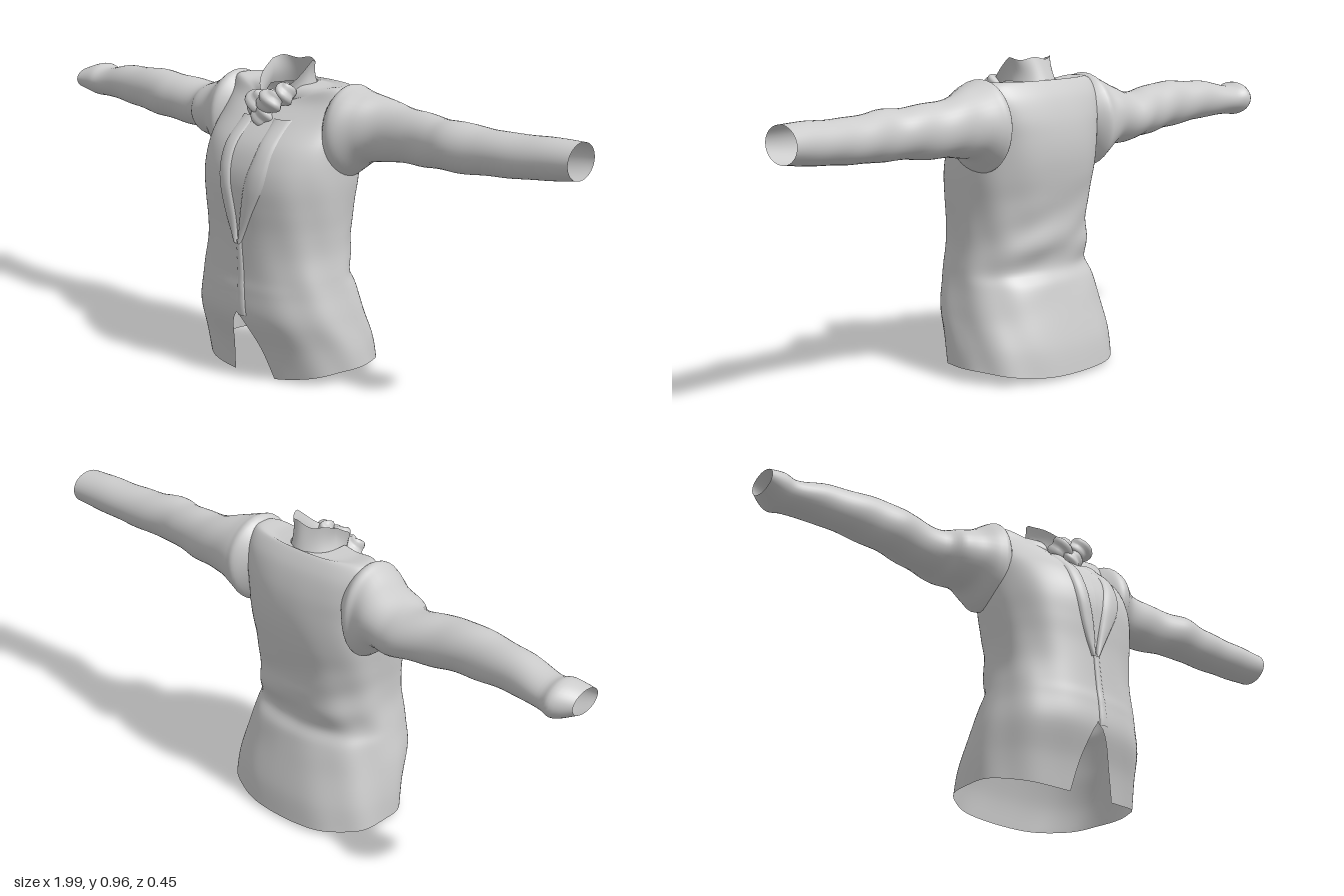
import * as THREE from 'three';

const material = new THREE.MeshStandardMaterial({ color: 0xcccccc, roughness: 0.9, side: THREE.DoubleSide });

// Smooth surface from fn(u, v) -> [x, y, z]; closed joins the loop in u
function surface(name, cols, rows, fn, closed = false) {
  const pos = [], index = [], n = closed ? cols : cols + 1;
  for (let j = 0; j <= rows; j++)
    for (let i = 0; i < n; i++) pos.push(...fn(i / cols, j / rows));
  for (let j = 0; j < rows; j++)
    for (let i = 0; i < cols; i++) {
      const k = (i + 1) % n;
      const a = j * n + i, b = j * n + k, c = a + n, d = b + n;
      index.push(a, b, c, b, d, c);
    }
  const g = new THREE.BufferGeometry();
  g.setAttribute('position', new THREE.Float32BufferAttribute(pos, 3));
  g.setIndex(index);
  g.computeVertexNormals();
  const mesh = new THREE.Mesh(g, material);
  mesh.name = name;
  return mesh;
}

// Catmull-Rom blend through a list of equally long rows, t in 0..1
function blend(rows, t) {
  const f = t * (rows.length - 1), i = Math.min(Math.floor(f), rows.length - 2), s = f - i;
  const at = (k) => rows[Math.max(0, Math.min(rows.length - 1, k))];
  return rows[0].map((_, c) => {
    const [p, q, r, w] = [at(i - 1)[c], at(i)[c], at(i + 1)[c], at(i + 2)[c]];
    return q + 0.5 * s * (r - p + s * (2 * p - 5 * q + 4 * r - w + s * (3 * (q - r) + w - p)));
  });
}

const power = (v, e) => Math.sign(v) * Math.abs(v) ** e;
const POWER = 2.4;

// Body sections: height, half width, front z, back z, dip at the front
const BODY = [
  [0.015, 0.285, 0.165, -0.222, 0.01], [0.10, 0.28, 0.185, -0.21, 0], [0.20, 0.267, 0.217, -0.182, 0],
  [0.28, 0.25, 0.217, -0.158, 0], [0.33, 0.24, 0.212, -0.132, 0], [0.40, 0.23, 0.21, -0.148, 0],
  [0.47, 0.23, 0.21, -0.148, 0], [0.54, 0.236, 0.214, -0.158, 0], [0.61, 0.242, 0.215, -0.172, 0],
  [0.67, 0.243, 0.203, -0.179, 0], [0.73, 0.242, 0.172, -0.178, 0], [0.79, 0.243, 0.11, -0.168, 0],
  [0.85, 0.24, 0.06, -0.146, 0.02], [0.893, 0.215, 0.04, -0.115, 0.045],
  [0.888, 0.14, 0.045, -0.105, 0.05], [0.89, 0.076, 0.055, -0.1, 0.055],
];

// Front surface of the body at a given x and y
function frontZ(x, y) {
  let lo = 0, hi = 12 / (BODY.length - 1);
  for (let i = 0; i < 24; i++) {
    const mid = (lo + hi) / 2;
    if (blend(BODY, mid)[0] < y) lo = mid; else hi = mid;
  }
  const [, w, zf, zb] = blend(BODY, lo);
  const k = Math.max(0, 1 - Math.min(1, Math.abs(x) / w) ** POWER) ** (1 / POWER);
  return (zf + zb) / 2 + ((zf - zb) / 2) * k;
}

function bodyPoint(u, v) {
  const [y, w, zf, zb, dip] = blend(BODY, v);
  // the front opens in an inverted V below the button
  const open = Math.max(0, (0.215 - y) / 0.2) ** 0.65;
  const start = Math.asin((0.10 * open / w) ** (POWER / 2));
  const end = Math.PI * 2 - Math.asin((0.06 * open / w) ** (POWER / 2));
  const a = start + (end - start) * u, s = Math.sin(a), c = Math.cos(a);
  const hem = Math.max(0, 1 - v * 8);
  const fold = 0.004 * Math.sin(y * 46 + s * 5) * Math.max(0, -c) * Math.exp(-(((y - 0.4) / 0.12) ** 2))
    + 0.003 * Math.sin(a * 9 + y * 14) * (1 - v) * Math.abs(s);
  const x = w * power(s, 2 / POWER);
  const z = (zf + zb) / 2 + ((zf - zb) / 2) * power(c, 2 / POWER);
  return [
    x + fold * s,
    y - dip * Math.max(0, c) ** 3 + hem * (0.03 * Math.max(0, s) ** 2 + 0.012 * Math.max(0, -s) ** 2),
    z + fold * c,
  ];
}

// Sleeve sections: distance from centre, top y, bottom y, front z, back z
const LEFT_SLEEVE = [
  [0.19, 0.875, 0.67, 0.05, -0.13], [0.225, 0.905, 0.63, 0.085, -0.163], [0.255, 0.9, 0.645, 0.085, -0.162],
  [0.30, 0.885, 0.68, 0.05, -0.155], [0.36, 0.868, 0.69, 0.018, -0.147], [0.45, 0.855, 0.695, 0.01, -0.136],
  [0.54, 0.848, 0.70, 0.02, -0.124], [0.61, 0.847, 0.702, 0.028, -0.116], [0.70, 0.84, 0.705, 0.014, -0.123],
  [0.80, 0.836, 0.712, 0.006, -0.13], [0.90, 0.84, 0.72, -0.006, -0.138], [0.995, 0.838, 0.732, -0.015, -0.146],
];
const RIGHT_SLEEVE = [
  [0.19, 0.87, 0.67, 0.05, -0.13], [0.225, 0.9, 0.61, 0.085, -0.16], [0.255, 0.89, 0.62, 0.08, -0.157],
  [0.30, 0.862, 0.665, 0.06, -0.163], [0.36, 0.838, 0.672, 0.048, -0.166], [0.41, 0.832, 0.682, 0.012, -0.163],
  [0.50, 0.84, 0.69, 0.01, -0.144], [0.58, 0.85, 0.698, 0.014, -0.134], [0.68, 0.848, 0.708, 0.004, -0.131],
  [0.80, 0.84, 0.72, -0.01, -0.138], [0.90, 0.82, 0.724, -0.022, -0.153], [0.945, 0.83, 0.722, -0.02, -0.166],
  [0.998, 0.812, 0.742, -0.016, -0.128],
];

function sleeve(name, rows, side) {
  return surface(name, 36, 64, (u, v) => {
    const [x, top, bottom, zf, zb] = blend(rows, v);
    const a = u * Math.PI * 2, s = Math.sin(a) * side, c = Math.cos(a);
    const r = 1 + 0.025 * Math.sin(x * 42 + a * 2) * Math.sin(v * Math.PI);
    return [
      side * x,
      (top + bottom) / 2 + ((top - bottom) / 2) * c * r,
      (zf + zb) / 2 + ((zf - zb) / 2) * s * r,
    ];
  }, true);
}

// Raised strip on the chest between two edges; rows: y, inner x, outer x
function chestStrip(name, rows, lift) {
  return surface(name, 10, 40, (u, v) => {
    const [y, x0, x1] = blend(rows, v);
    const x = x0 + (x1 - x0) * u;
    return [x, y, frontZ(x, y) + lift * Math.sin(Math.PI * u) ** 0.5 - 0.001];
  });
}

export function createModel() {
  const jacket = new THREE.Group();
  jacket.name = 'jacket';

  jacket.add(surface('body', 96, 90, bodyPoint));
  jacket.add(sleeve('leftSleeve', LEFT_SLEEVE, 1), sleeve('rightSleeve', RIGHT_SLEEVE, -1));

  // Lapels and the overlapping front edge
  jacket.add(chestStrip('leftLapel', [[0.43, 0, 0.012], [0.52, 0.012, 0.055], [0.62, 0.03, 0.1],
    [0.71, 0.05, 0.108], [0.80, 0.045, 0.11]], 0.01));
  jacket.add(chestStrip('rightLapel', [[0.43, -0.014, 0], [0.52, -0.05, -0.006], [0.62, -0.075, -0.025],
    [0.71, -0.085, -0.035], [0.80, -0.08, -0.03]], 0.01));
  jacket.add(chestStrip('frontEdge', [[0.21, 0.005, 0.04], [0.30, 0.002, 0.03], [0.44, -0.008, 0.015]], 0.006));

  // Stand-up collar, high at the back and low at the front
  jacket.add(surface('collar', 48, 10, (u, v) => {
    const a = u * Math.PI * 2, s = Math.sin(a), c = Math.cos(a), front = Math.max(0, c);
    const w = 0.08 - 0.008 * Math.sin(v * Math.PI);
    const y = 0.875 - 0.065 * front + v * (0.083 + 0.004 * Math.sin(a * 5) - 0.02 * front);
    const z = -0.02 + c * (c > 0 ? 0.085 + 0.03 * v : 0.09 - 0.035 * v);
    return [w * s + 0.008 * v, y, z];
  }, true));

  // Crumpled cloth at the throat
  const folds = [[0.03, 0.85, 0.1, 0.045, 0.035, 0.035], [-0.03, 0.835, 0.09, 0.04, 0.04, 0.035],
    [0.0, 0.8, 0.1, 0.035, 0.035, 0.03], [0.06, 0.87, 0.07, 0.028, 0.035, 0.035]];
  folds.forEach(([x, y, z, rx, ry, rz], k) => {
    jacket.add(surface('throatFold', 20, 14, (u, v) => {
      const a = u * Math.PI * 2, b = (v - 0.5) * Math.PI;
      const r = 1 + 0.16 * Math.sin(a * 3 + k * 2 + b * 4) * Math.cos(b);
      return [x + rx * r * Math.sin(a) * Math.cos(b), y + ry * r * Math.sin(b), z + rz * r * Math.cos(a) * Math.cos(b)];
    }, true));
  });

  return jacket;
}
